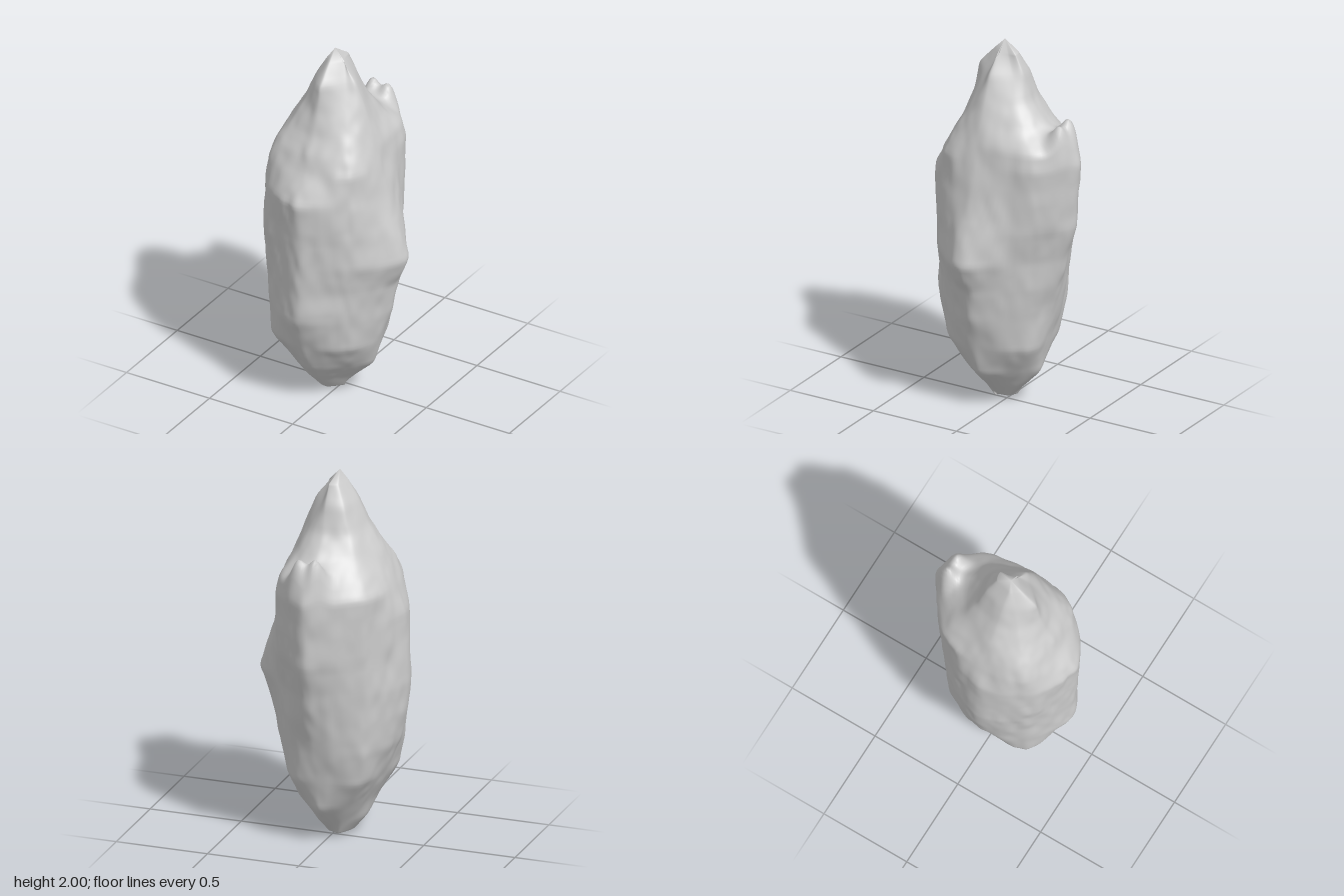
import * as THREE from 'three';

// Cross-sections: height, reach to -x, +x, -z, +z,
// then reach along the diagonals (+x+z), (-x+z), (-x-z), (+x-z)
const SECTIONS = [
  [0.02, -0.09, 0.02, -0.02, 0.11, 0.06, 0.13, 0.06, 0.02],
  [0.1, -0.16, 0.1, -0.11, 0.185, 0.115, 0.2, 0.11, 0.09],
  [0.2, -0.2, 0.21, -0.2, 0.275, 0.2, 0.265, 0.175, 0.155],
  [0.36, -0.28, 0.255, -0.24, 0.345, 0.305, 0.385, 0.285, 0.255],
  [0.54, -0.35, 0.31, -0.28, 0.41, 0.32, 0.395, 0.324, 0.265],
  [0.72, -0.385, 0.34, -0.325, 0.41, 0.33, 0.4, 0.335, 0.29],
  [0.87, -0.4, 0.408, -0.36, 0.41, 0.355, 0.413, 0.345, 0.295],
  [1.05, -0.39, 0.35, -0.41, 0.415, 0.355, 0.415, 0.345, 0.33],
  [1.25, -0.38, 0.29, -0.425, 0.437, 0.335, 0.41, 0.35, 0.34],
  [1.4, -0.335, 0.25, -0.43, 0.33, 0.33, 0.39, 0.355, 0.345],
  [1.49, -0.3, 0.23, -0.4, 0.295, 0.28, 0.35, 0.3, 0.32],
  [1.58, -0.26, 0.205, -0.25, 0.245, 0.225, 0.285, 0.235, 0.22],
  [1.7, -0.19, 0.16, -0.15, 0.205, 0.165, 0.21, 0.17, 0.14],
  [1.84, -0.13, 0.1, -0.105, 0.185, 0.1, 0.15, 0.12, 0.07],
  [1.94, -0.07, 0.02, -0.05, 0.09, 0.04, 0.085, 0.06, 0.01],
];
const LOW = SECTIONS[0][0], HIGH = SECTIONS[SECTIONS.length - 1][0];

// Small peaks raised from the shelf at the back: x, z, height, width in x, width in z
const PEAKS = [[-0.04, -0.355, 0.12, 0.05, 0.055], [0.06, -0.355, 0.11, 0.05, 0.055]];

const { lerp, smoothstep } = THREE.MathUtils;

// Linear blend of the cross-section table at height y
function sectionAt(y) {
  let i = 0;
  while (i < SECTIONS.length - 2 && SECTIONS[i + 1][0] < y) i++;
  const a = SECTIONS[i], b = SECTIONS[i + 1];
  const t = (y - a[0]) / (b[0] - a[0]);
  return a.map((v, k) => lerp(v, b[k], t));
}

// Cross-section with the kinks between table rows rounded off
function softSectionAt(y) {
  const h = Math.min(0.02, y - LOW, HIGH - y);
  const below = sectionAt(y - h), mid = sectionAt(y), above = sectionAt(y + h);
  return mid.map((v, k) => (below[k] + 2 * v + above[k]) / 4);
}

// Closed outline through the eight reaches of a cross-section
function outline([y, xa, xb, za, zb, fl, fr, br, bl], segs) {
  const d = Math.SQRT1_2;
  const corners = [
    [xb, 0.04], [0.6 * fl, 0.81 * fl], [-0.03, zb], [-d * fr, d * fr],
    [xa, 0.04], [-0.76 * br, -0.65 * br], [0, za], [0.6 * bl, -0.81 * bl],
  ];
  return new THREE.CatmullRomCurve3(
    corners.map(([x, z]) => new THREE.Vector3(x, y, z)), true, 'catmullrom', 0.36,
  ).getPoints(segs).slice(0, segs);
}

// Seeded value noise, from -1 to 1
function hash(i, j, k) {
  const s = Math.sin(i * 127.1 + j * 311.7 + k * 74.7 + 5.3) * 43758.5453;
  return 2 * (s - Math.floor(s)) - 1;
}
function noise(x, y, z) {
  const i = Math.floor(x), j = Math.floor(y), k = Math.floor(z);
  const u = smoothstep(x - i, 0, 1), v = smoothstep(y - j, 0, 1), w = smoothstep(z - k, 0, 1);
  const row = (b, c) => lerp(hash(i, b, c), hash(i + 1, b, c), u);
  const slab = (c) => lerp(row(j, c), row(j + 1, c), v);
  return lerp(slab(k), slab(k + 1), w);
}

// Weathered lumps and dents, elongated vertically
function lumps(x, y, z) {
  return 0.6 * noise(12 * x, 5 * y, 12 * z) + 0.4 * noise(24 * x + 7, 10 * y, 24 * z);
}

// Closed stone skin through the cross-sections
function stoneGeometry(rings, segs) {
  const pos = [], index = [];
  for (let r = 0; r <= rings; r++) {
    for (const p of outline(softSectionAt(lerp(LOW, HIGH, r / rings)), segs)) {
      const n = 1 + 0.035 * lumps(p.x, p.y, p.z);
      const x = p.x * n, z = p.z * n;
      let lift = 0;
      for (const [px, pz, height, wx, wz] of PEAKS) {
        lift += height * Math.exp(-(((x - px) / wx) ** 2) - ((z - pz) / wz) ** 2);
      }
      pos.push(x, p.y + lift * smoothstep(p.y, 1.25, 1.5), z);
    }
  }
  for (let r = 0; r < rings; r++) {
    for (let i = 0; i < segs; i++) {
      const j = (i + 1) % segs;
      const a = r * segs + i, b = r * segs + j, c = a + segs, d = b + segs;
      index.push(a, c, b, b, c, d);
    }
  }
  // Close the two tips
  const base = pos.length / 3, top = rings * segs;
  pos.push(-0.05, 0, 0.045, -0.03, 2, 0.03);
  for (let i = 0; i < segs; i++) {
    const j = (i + 1) % segs;
    index.push(base, i, j, base + 1, top + j, top + i);
  }

  const geometry = new THREE.BufferGeometry();
  geometry.setAttribute('position', new THREE.Float32BufferAttribute(pos, 3));
  geometry.setIndex(index);
  geometry.computeVertexNormals();
  return geometry;
}

export function createModel() {
  const group = new THREE.Group();
  group.name = 'standingRock';
  const rock = new THREE.Mesh(stoneGeometry(220, 128), new THREE.MeshStandardMaterial({ color: 0xcccccc }));
  rock.name = 'rockBody';
  group.add(rock);
  return group;
}
